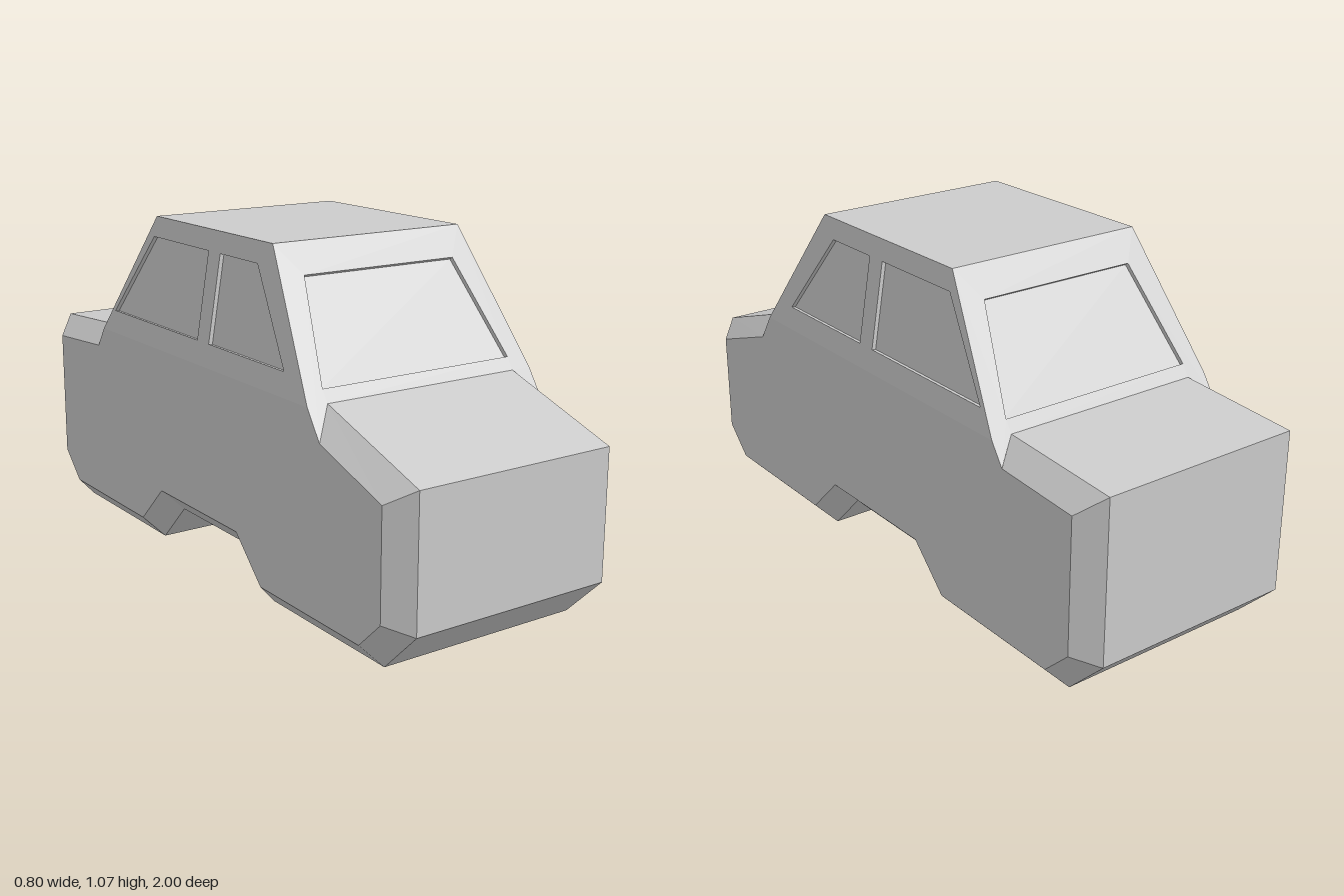
import * as THREE from 'three';

const IN = 1 / 3, OUT = 0.4;      // half widths: bevel edge and flank
const BELT = 0.667, ROOF = 1.067; // heights
const RECESS = 0.013;             // depth of the window panes
const material = new THREE.MeshStandardMaterial({ color: 0xcccccc, flatShading: true });
const V = (x, y, z) => new THREE.Vector3(x, y, z);
const mirror = pts => pts.map(p => V(-p.x, p.y, p.z)).reverse();

// Unit normal of a counter-clockwise polygon
function normalOf(pts) {
  const n = V(0, 0, 0);
  pts.forEach((p, i) => n.add(p.clone().cross(pts[(i + 1) % pts.length])));
  return n.normalize();
}

// Triangulates a flat polygon with holes and appends it to a position list
function face(out, pts, holes = []) {
  const n = normalOf(pts);
  const u = pts[1].clone().sub(pts[0]).normalize();
  const v = n.clone().cross(u);
  const flat = list => list.map(p => new THREE.Vector2(p.dot(u), p.dot(v)));
  const all = [...pts, ...holes.flat()];
  const all2 = flat(all);
  for (const [a, b, c] of THREE.ShapeUtils.triangulateShape(flat(pts), holes.map(flat))) {
    const ccw = THREE.ShapeUtils.area([all2[a], all2[b], all2[c]]) > 0;
    for (const i of ccw ? [a, b, c] : [a, c, b]) out.push(...all[i].toArray());
  }
}

function makeMesh(name, positions) {
  const geometry = new THREE.BufferGeometry();
  geometry.setAttribute('position', new THREE.Float32BufferAttribute(positions, 3));
  geometry.computeVertexNormals();
  const mesh = new THREE.Mesh(geometry, material);
  mesh.name = name;
  return mesh;
}

// Panel with recessed windows: pierced sheet, reveal walls and panes
function windowPanel(name, outline, windows) {
  const group = new THREE.Group();
  group.name = name;
  const frame = [], panes = [];
  const inward = normalOf(outline).multiplyScalar(-RECESS);
  face(frame, outline, windows);
  for (const w of windows) {
    const pane = w.map(p => p.clone().add(inward));
    w.forEach((p, i) => {
      const j = (i + 1) % w.length;
      face(frame, [p, w[j], pane[j], pane[i]]);
    });
    face(panes, pane);
  }
  group.add(makeMesh(name + 'Frame', frame), makeMesh(name + 'Pane', panes));
  return group;
}

export function createModel() {
  const car = new THREE.Group();
  car.name = 'car';

  // Lower body as [z, y] profiles, from the rear window base under to the windshield base
  const inner = [[-0.6, BELT], [-1, 0.64], [-1, 0.133], [-0.867, 0], [-0.333, 0], [-0.2, 0.133],
    [0.2, 0.133], [0.333, 0], [0.867, 0], [1, 0.133], [1, 0.533], [0.6, BELT]];
  const flank = [[-0.645, 0.6], [-0.933, 0.58], [-0.933, 0.16], [-0.84, 0.07], [-0.36, 0.07], [-0.227, 0.2],
    [0.227, 0.2], [0.36, 0.07], [0.84, 0.07], [0.933, 0.16], [0.933, 0.487], [0.658, 0.58]];
  const at = (x, [z, y]) => V(x, y, z);

  const body = [];
  for (let i = 0; i < inner.length - 1; i++) {
    const a = inner[i], b = inner[i + 1];
    face(body, [at(-IN, a), at(IN, a), at(IN, b), at(-IN, b)]);
    const bevel = [at(IN, a), at(OUT, flank[i]), at(OUT, flank[i + 1]), at(IN, b)];
    face(body, bevel);
    face(body, mirror(bevel));
  }
  const side = [...flank, [0.6, BELT], [-0.6, BELT]].reverse().map(p => at(OUT, p));
  face(body, side);
  face(body, mirror(side));
  car.add(makeMesh('lowerBody', body));

  // Roof
  const roof = [];
  face(roof, [V(-IN, ROOF, IN), V(IN, ROOF, IN), V(IN, ROOF, -IN), V(-IN, ROOF, -IN)]);
  car.add(makeMesh('roof', roof));

  // Windshield and rear window, on slopes that run down past the belt at the corners
  const slopeZ = y => 0.6 - (y - BELT) / 1.5;
  const endPanel = (name, sign, cornerY) => {
    const place = pts => {
      const list = pts.map(([x, y]) => V(x, y, sign * slopeZ(y)));
      return sign > 0 ? list : list.reverse();
    };
    const outline = place([[-OUT, cornerY], [-IN, BELT], [IN, BELT], [OUT, cornerY],
      [OUT, BELT], [IN, ROOF], [-IN, ROOF], [-OUT, BELT]]);
    const glass = place([[-IN, 0.703], [IN, 0.703], [0.267, 0.98], [-0.267, 0.98]]);
    car.add(windowPanel(name, outline, [glass]));
  };
  endPanel('windshield', 1, 0.58);
  endPanel('rearWindow', -1, 0.6);

  // Cabin sides with two windows each
  const sidePoint = ([z, y]) => V(OUT - (y - BELT) / 6, y, z);
  const cabin = [[0.6, BELT], [-0.6, BELT], [-IN, ROOF], [IN, ROOF]].map(sidePoint);
  const sideWindows = [
    [[0.47, 0.737], [0.067, 0.737], [0.067, 1.003], [0.27, 1.003]],
    [[0, 0.737], [-0.533, 0.737], [-0.335, 1.003], [0, 1.003]],
  ].map(w => w.map(sidePoint));
  car.add(windowPanel('leftCabinSide', cabin, sideWindows));
  car.add(windowPanel('rightCabinSide', mirror(cabin), sideWindows.map(mirror)));

  return car;
}
